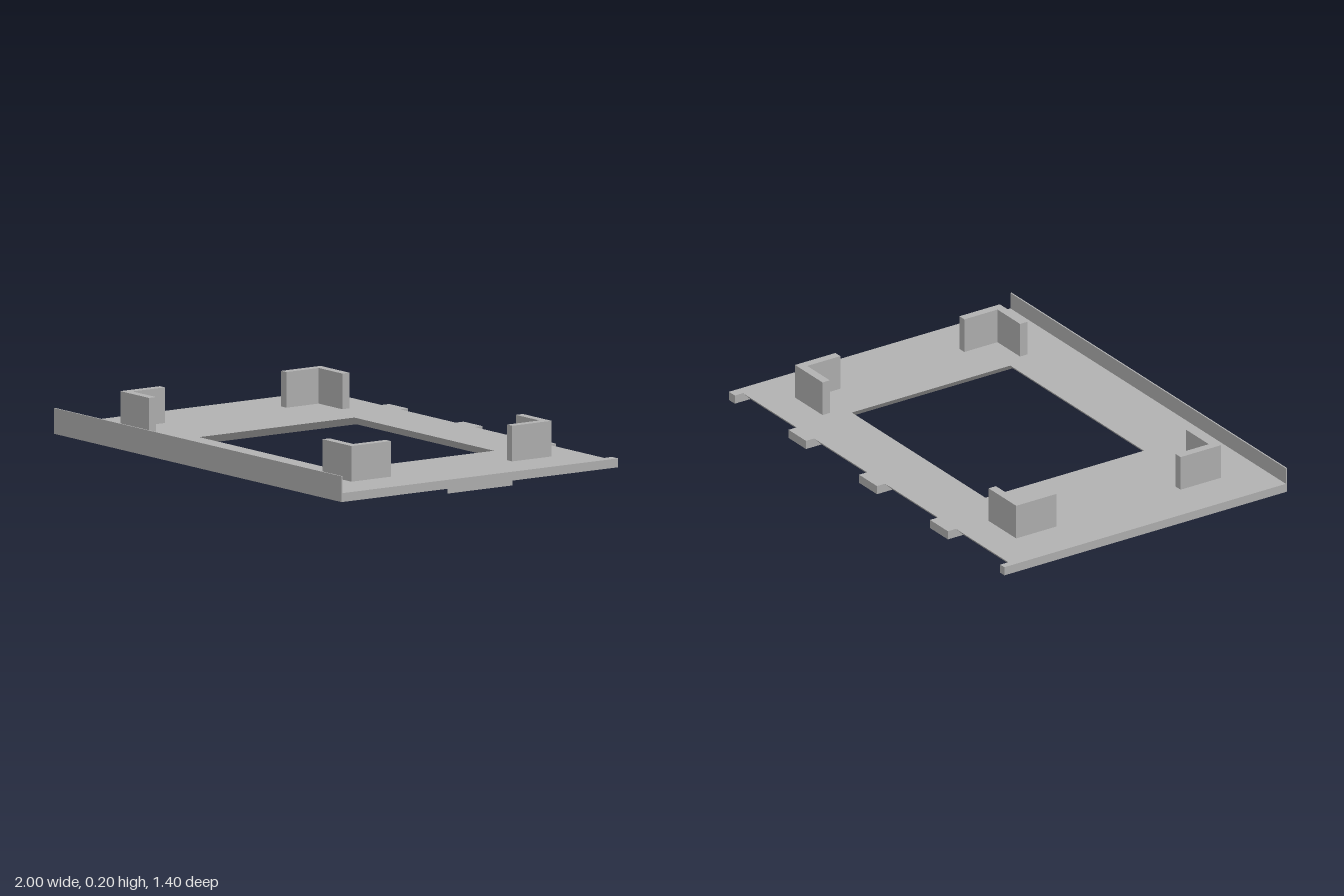
import * as THREE from 'three';

const BOTTOM = 0.02, TOP = 0.057, BACK = -0.7, NOTCH = -0.66, FRONT = 0.7;
const HOLE = { x0: -0.415, x1: 0.555, z0: -0.395, z1: 0.39 };
const near = (a, b) => Math.abs(a - b) < 1e-4;

// Extrudes an outline given in x and z upwards from y0 to y1
function slab(points, y0, y1, hole) {
  const toPath = (list) => list.map(([x, z]) => new THREE.Vector2(x, -z));
  const shape = new THREE.Shape(toPath(points));
  if (hole) shape.holes.push(new THREE.Path(toPath(hole)));
  const geo = new THREE.ExtrudeGeometry(shape, { depth: y1 - y0, bevelEnabled: false });
  geo.rotateX(-Math.PI / 2);
  geo.translate(0, y0, 0);
  return geo;
}

export function createModel() {
  const group = new THREE.Group();
  group.name = 'framePanel';
  const grey = new THREE.MeshStandardMaterial({ color: 0xb2b2b2 });
  grey.name = 'grey plastic';
  const add = (name, geo) => {
    const mesh = new THREE.Mesh(geo, grey);
    mesh.name = name;
    group.add(mesh);
    return mesh;
  };

  // Base plate with tabs along the back edge and a window
  const outline = [[-1, FRONT], [1, FRONT]];
  const tabs = [[1, 0.957], [0.567, 0.44], [0.055, -0.075], [-0.46, -0.59], [-0.97, -1]];
  tabs.forEach(([right, left], i) => {
    if (i > 0) outline.push([right, NOTCH]);
    outline.push([right, BACK], [left, BACK]);
    if (i < tabs.length - 1) outline.push([left, NOTCH]);
  });
  const { x0, x1, z0, z1 } = HOLE;
  const plate = slab(outline, BOTTOM, TOP, [[x0, z0], [x1, z0], [x1, z1], [x0, z1]]);

  // Undercut the window and the notches by 45 degrees
  const slope = TOP - BOTTOM;
  const pos = plate.attributes.position;
  for (let i = 0; i < pos.count; i++) {
    if (!near(pos.getY(i), BOTTOM)) continue;
    const x = pos.getX(i), z = pos.getZ(i);
    if (near(z, NOTCH)) pos.setZ(i, z + slope);
    else if (near(x, x0) || near(x, x1)) {
      if (near(z, z0) || near(z, z1)) {
        pos.setX(i, x + (near(x, x0) ? -slope : slope));
        pos.setZ(i, z + (near(z, z0) ? -slope : slope));
      }
    }
  }
  plate.computeVertexNormals();
  add('basePlate', plate);

  // Thin upright lip along the front
  const lip = add('frontLip', new THREE.BoxGeometry(2, 0.107, 0.006));
  lip.position.set(0, BOTTOM + 0.0535, FRONT - 0.003);

  // Four L-shaped corner brackets
  const t = 0.036, len = 0.2;
  for (const sx of [-1, 1]) for (const sz of [-1, 1]) {
    const ox = 0.803 * sx, oz = 0.507 * sz;
    const corner = [[0, 0], [len, 0], [len, t], [t, t], [t, len], [0, len]]
      .map(([a, b]) => [ox - a * sx, oz - b * sz]);
    add('cornerBracket', slab(corner, TOP - 0.005, 0.205));
  }

  // Curved finger grip under the left edge
  const half = 0.165, sag = 0.043;
  const radius = (half * half + sag * sag) / (2 * sag);
  const sweep = Math.asin(half / radius);
  const arc = [];
  for (let i = 0; i <= 20; i++) {
    const a = sweep * (i / 10 - 1);
    arc.push([1 - sag + radius * (1 - Math.cos(a)), radius * Math.sin(a)]);
  }
  add('fingerGrip', slab(arc, 0, BOTTOM + 0.002));

  return group;
}
